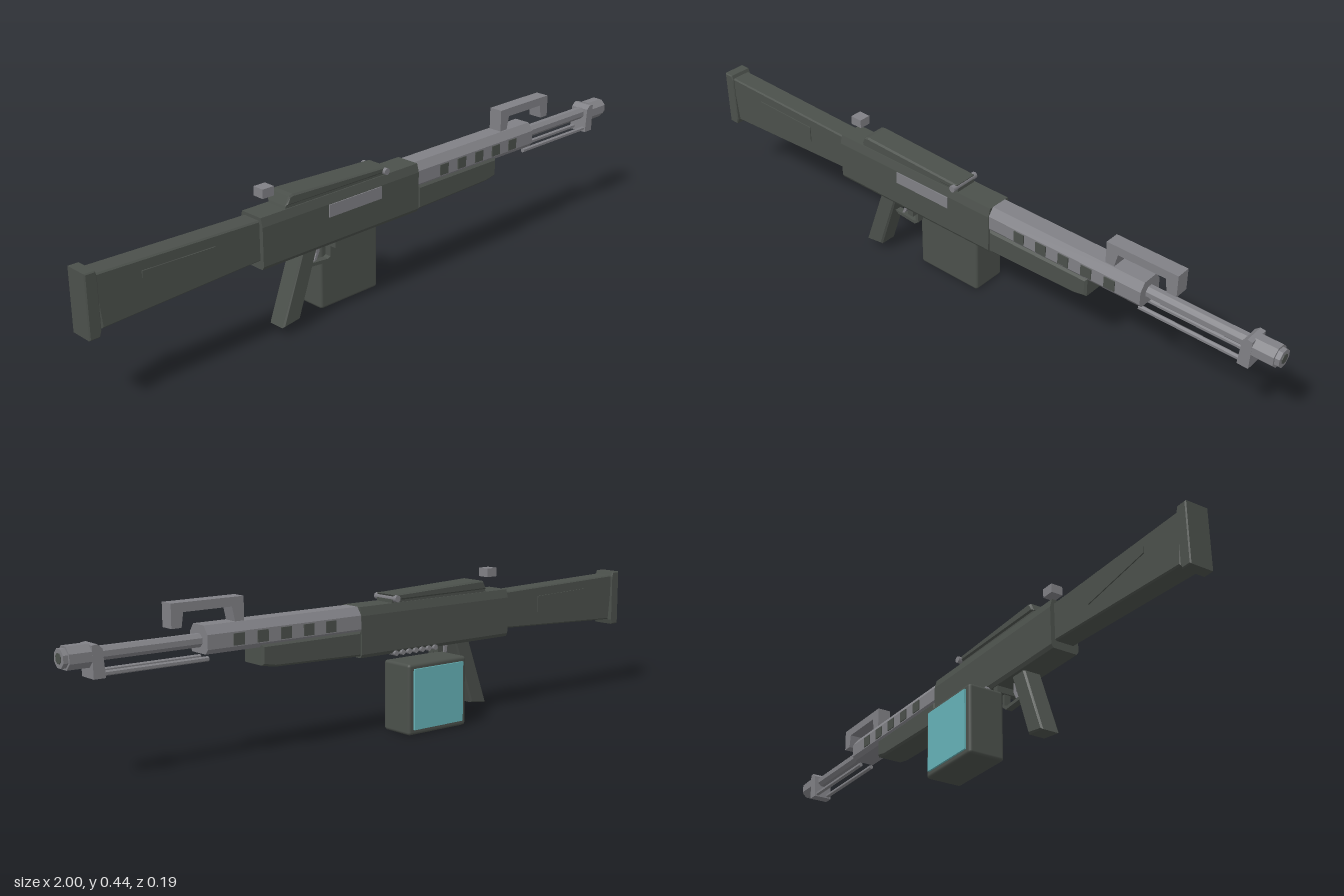
import * as THREE from 'three';
import { RoundedBoxGeometry } from 'three/addons/geometries/RoundedBoxGeometry.js';

const AXIS = 0.046; // z of the bore line

export function createModel() {
  const group = new THREE.Group();
  group.name = 'beltFedToyGun';
  const mat = (name, color) => {
    const m = new THREE.MeshStandardMaterial({ color });
    m.name = name;
    return m;
  };
  const dark = mat('darkGreenGrey', 0x4b504b);
  const steel = mat('steelGrey', 0x808085);
  const teal = mat('tealPanel', 0x66b3b8);

  const add = (name, geometry, material, x = 0, y = 0, z = 0) => {
    const mesh = new THREE.Mesh(geometry, material);
    mesh.name = name;
    mesh.position.set(x, y, z);
    group.add(mesh);
    return mesh;
  };
  const toShape = (pts) => new THREE.Shape(pts.map(([a, b]) => new THREE.Vector2(a, b)));
  // Box given by its limits
  const box = (name, m, x0, x1, y0, y1, z0, z1) =>
    add(name, new THREE.BoxGeometry(x1 - x0, y1 - y0, z1 - z0), m, (x0 + x1) / 2, (y0 + y1) / 2, (z0 + z1) / 2);
  // Side profile (x, y) thickened evenly about the bore line
  const slab = (name, m, pts, half, bevel = 0) => {
    const g = new THREE.ExtrudeGeometry(toShape(pts), {
      depth: 2 * (half - bevel), bevelEnabled: bevel > 0, bevelThickness: bevel,
      bevelSize: bevel, bevelOffset: -bevel, bevelSegments: 1,
    });
    return add(name, g, m, 0, 0, AXIS - half + bevel);
  };
  // Symmetric cross-section, given as (half width, y) from bottom to top, run along x
  const prism = (name, m, rows, x0, x1) => {
    const pts = [...rows, ...rows.map(([w, y]) => [-w, y]).reverse()];
    const g = new THREE.ExtrudeGeometry(toShape(pts), { depth: x1 - x0, bevelEnabled: false });
    g.rotateY(Math.PI / 2);
    return add(name, g, m, x0, 0, AXIS);
  };
  // Faceted rod along x
  const rod = (name, m, x0, x1, y, z, r, sides = 8) => {
    const g = new THREE.CylinderGeometry(r, r, x1 - x0, sides, 1, false, Math.PI / sides).toNonIndexed();
    g.computeVertexNormals();
    g.rotateZ(-Math.PI / 2);
    return add(name, g, m, (x0 + x1) / 2, y, z);
  };

  // Stock
  slab('stock', dark, [[-0.975, 0.373], [-0.96, 0.227], [-0.47, 0.248], [-0.47, 0.361]], 0.031, 0.004);
  slab('buttPlate', dark, [[-1, 0.21], [-0.97, 0.21], [-0.965, 0.225], [-0.965, 0.368], [-0.97, 0.383], [-1, 0.383]], 0.036, 0.003);
  slab('stockPanel', dark, [[-0.84, 0.322], [-0.62, 0.285], [-0.62, 0.335], [-0.84, 0.34]], 0.034);

  // Receiver
  prism('receiver', dark, [[0.038, 0.225], [0.044, 0.235], [0.044, 0.345], [0.037, 0.37]], -0.475, 0.1);
  box('ejectionPort', steel, -0.245, -0.05, 0.308, 0.344, AXIS + 0.038, AXIS + 0.047);
  slab('topCoverBase', dark, [[-0.39, 0.368], [-0.02, 0.368], [-0.02, 0.38], [-0.385, 0.382]], 0.034);
  slab('topCover', dark, [[-0.39, 0.378], [-0.03, 0.376], [-0.02, 0.393], [-0.365, 0.406], [-0.378, 0.403]], 0.039, 0.005);
  const pin = new THREE.CylinderGeometry(0.01, 0.01, 0.096, 8);
  pin.rotateX(Math.PI / 2);
  add('coverHinge', pin, steel, -0.03, 0.382, AXIS);
  box('rearSight', steel, -0.45, -0.412, 0.41, 0.436, AXIS - 0.018, AXIS + 0.018);

  // Grip, trigger and guard
  slab('grip', dark, [[-0.402, 0.025], [-0.34, 0.033], [-0.272, 0.23], [-0.328, 0.23]], 0.029, 0.005);
  box('feedPlate', dark, -0.215, -0.195, 0.206, 0.23, AXIS - 0.036, AXIS + 0.036);
  slab('trigger', steel, [[-0.262, 0.23], [-0.258, 0.195], [-0.268, 0.172], [-0.258, 0.176], [-0.248, 0.196], [-0.248, 0.23]], 0.006);
  slab('triggerGuard', dark, [
    [-0.293, 0.172], [-0.28, 0.163], [-0.215, 0.158], [-0.2, 0.17],
    [-0.2, 0.23], [-0.21, 0.23], [-0.21, 0.172], [-0.22, 0.168], [-0.28, 0.173],
  ], 0.01);

  // Ammunition box with its coloured panel and short belt
  add('ammoBox', new RoundedBoxGeometry(0.22, 0.206, 0.111, 2, 0.009), dark, -0.11, 0.104, -0.03);
  box('ammoBoxPanel', teal, -0.203, -0.017, 0.017, 0.193, -0.091, -0.084);
  for (let i = 0; i < 7; i++) {
    const g = new THREE.CylinderGeometry(0.008, 0.008, 0.045, 8);
    g.rotateX(Math.PI / 2);
    add('beltRound', g, steel, -0.175 + i * 0.025, 0.226, 0.019);
  }

  // Handguard
  prism('upperHandguard', steel, [[0.032, 0.295], [0.042, 0.308], [0.042, 0.347], [0.025, 0.37]], 0.1, 0.605);
  slab('lowerHandguard', dark, [[0.1, 0.231], [0.395, 0.238], [0.437, 0.246], [0.437, 0.302], [0.1, 0.302]], 0.044, 0.006);
  for (let i = 0; i < 5; i++) {
    const x = 0.207 + i * 0.0755;
    for (const s of [-1, 1]) {
      const z = AXIS + s * 0.042;
      box('vent', dark, x - 0.017, x + 0.017, 0.311, 0.343, z - 0.003, z + 0.003);
    }
  }

  // Carrying handle
  slab('carryHandle', steel, [
    [0.478, 0.365], [0.505, 0.365], [0.515, 0.41], [0.662, 0.41], [0.668, 0.37],
    [0.698, 0.37], [0.698, 0.435], [0.478, 0.435],
  ], 0.0215);

  // Barrel, gas rods, front block and muzzle
  rod('barrel', steel, 0.59, 0.935, 0.329, AXIS, 0.019);
  for (const s of [-1, 1]) rod('gasRod', steel, 0.59, 0.9, 0.281, AXIS + s * 0.019, 0.007, 6);
  slab('frontBlock', steel, [[0.89, 0.271], [0.923, 0.271], [0.925, 0.355], [0.91, 0.357], [0.896, 0.345]], 0.03);
  rod('muzzle', steel, 0.922, 0.985, 0.328, AXIS, 0.032);
  rod('muzzleTip', steel, 0.985, 0.998, 0.328, AXIS, 0.026);
  rod('bore', dark, 0.99, 1, 0.328, AXIS, 0.014);

  return group;
}
